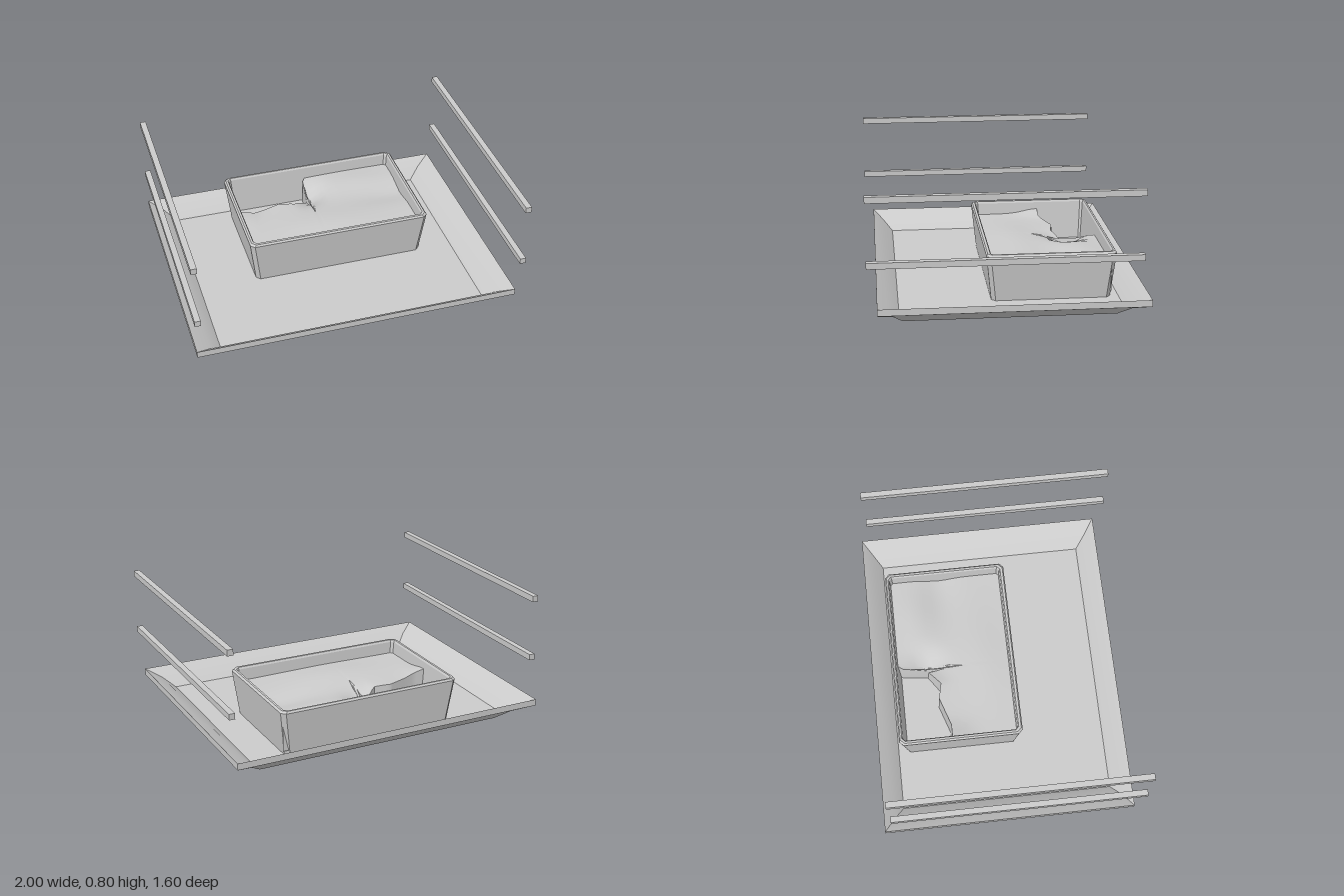
import * as THREE from 'three';
import { toCreasedNormals } from 'three/addons/utils/BufferGeometryUtils.js';

const grey = new THREE.MeshStandardMaterial({ color: 0xcccccc });
const greyDouble = new THREE.MeshStandardMaterial({ color: 0xcccccc, side: THREE.DoubleSide });

// Rectangle with cut corners, running counter-clockwise seen from above
function ring([x0, x1, z0, z1, y, c = 0]) {
  const pts = [
    [x1 - c, z1], [x1, z1 - c], [x1, z0 + c], [x1 - c, z0],
    [x0 + c, z0], [x0, z0 + c], [x0, z1 - c], [x0 + c, z1],
  ];
  return (c ? pts : pts.filter((_, i) => i % 2)).map(([x, z]) => [x, y, z]);
}

// Skin joining successive rings, closed at both ends by a fan to the middle
function loft(name, specs, crease) {
  const rings = specs.map(ring), n = rings[0].length, pos = [];
  const middle = (r) => [0, 1, 2].map((k) => r.reduce((s, p) => s + p[k], 0) / n);
  const first = middle(rings[0]), last = middle(rings[rings.length - 1]);
  for (let j = 0; j < n; j++) {
    const k = (j + 1) % n, end = rings[rings.length - 1];
    pos.push(...first, ...rings[0][k], ...rings[0][j]);
    for (let i = 0; i + 1 < rings.length; i++) {
      const a = rings[i], b = rings[i + 1];
      pos.push(...a[j], ...a[k], ...b[k], ...a[j], ...b[k], ...b[j]);
    }
    pos.push(...end[j], ...end[k], ...last);
  }
  const geo = new THREE.BufferGeometry();
  geo.setAttribute('position', new THREE.Float32BufferAttribute(pos, 3));
  const mesh = new THREE.Mesh(toCreasedNormals(geo, crease), grey);
  mesh.name = name;
  return mesh;
}

// Back limit of the fill: a hole is dug out in the back corner
const edge = [[-0.47, -0.33], [-0.38, -0.33], [-0.2, -0.39], [-0.1, -0.37],
  [0, -0.44], [0.02, -0.6], [0.04, -0.63], [0.63, -0.63]];
function edgeZ(x) {
  for (let i = 1; i < edge.length; i++) {
    const [xa, za] = edge[i - 1], [xb, zb] = edge[i];
    if (x <= xb) return za + (zb - za) * (x - xa) / (xb - xa);
  }
  return -0.63;
}
const bump = (x, z, cx, cz, rx, rz) => Math.exp(-(((x - cx) / rx) ** 2) - ((z - cz) / rz) ** 2);
function fillHeight(x, z) {
  return 0.245 - 0.07 * bump(x, z, 0.02, -0.45, 0.09, 0.1)
    + 0.03 * bump(x, z, -0.47, -0.33, 0.08, 0.12)
    + 0.02 * bump(x, z, 0.05, -0.1, 0.3, 0.15)
    - 0.025 * bump(x, z, 0.55, -0.32, 0.25, 0.1)
    + 0.015 * bump(x, z, 0.35, -0.5, 0.2, 0.1);
}

// Uneven fill: sloping rows up to the edge, then a steep drop to the floor
function makeFill() {
  const cols = [...edge.map((e) => e[0])];
  for (let x = -0.42; x < 0.62; x += 0.05) cols.push(x);
  cols.sort((a, b) => a - b);
  const rows = 14, pos = [], index = [], w = rows + 2;
  cols.forEach((x, i) => {
    const back = edgeZ(x), front = 0.075;
    for (let r = 0; r <= rows; r++) {
      const z = front + (back - front) * r / rows;
      pos.push(x, fillHeight(x, z), z);
    }
    pos.push(x, 0.075, Math.max(back - 0.01, -0.63));
    if (i === 0) return;
    for (let r = 0; r < w - 1; r++) {
      const a = (i - 1) * w + r, b = i * w + r;
      index.push(a, b, b + 1, a, b + 1, a + 1);
    }
  });
  const geo = new THREE.BufferGeometry();
  geo.setAttribute('position', new THREE.Float32BufferAttribute(pos, 3));
  geo.setIndex(index);
  const mesh = new THREE.Mesh(toCreasedNormals(geo, 0.7), greyDouble);
  mesh.name = 'fill';
  return mesh;
}

export function createModel() {
  const model = new THREE.Group();
  model.name = 'trayWithBox';

  // Shallow tray with flared sides: x0, x1, z0, z1, y
  model.add(loft('tray', [
    [-0.8, 0.78, -0.64, 0.6, 0],
    [-0.875, 0.86, -0.71, 0.66, 0.06],
    [-0.99, 0.98, -0.8, 0.745, 0.11],
    [-0.99, 0.98, -0.8, 0.745, 0.15],
    [-0.9, 0.89, -0.735, 0.68, 0.1],
    [-0.83, 0.82, -0.68, 0.62, 0.04],
  ], 0.6));

  // Tapered open box with cut corners and a bevelled rim
  model.add(loft('box', [
    [-0.47, 0.61, -0.63, 0.075, 0.035, 0.025],
    [-0.505, 0.645, -0.66, 0.105, 0.318, 0.025],
    [-0.495, 0.635, -0.652, 0.097, 0.33, 0.025],
    [-0.482, 0.622, -0.642, 0.082, 0.33, 0.02],
    [-0.475, 0.615, -0.635, 0.075, 0.318, 0.015],
    [-0.45, 0.6, -0.62, 0.06, 0.075, 0.012],
  ], 0.3));

  model.add(makeFill());

  // Two pairs of long side rails
  for (const side of [-1, 1]) {
    for (const [label, y] of [['lower', 0.41], ['upper', 0.783]]) {
      const rail = new THREE.Mesh(new THREE.BoxGeometry(0.036, 0.036, 1.545), grey);
      rail.position.set(side * 0.982, y, 0.027);
      rail.name = label + (side > 0 ? 'LeftRail' : 'RightRail');
      model.add(rail);
    }
  }
  return model;
}
